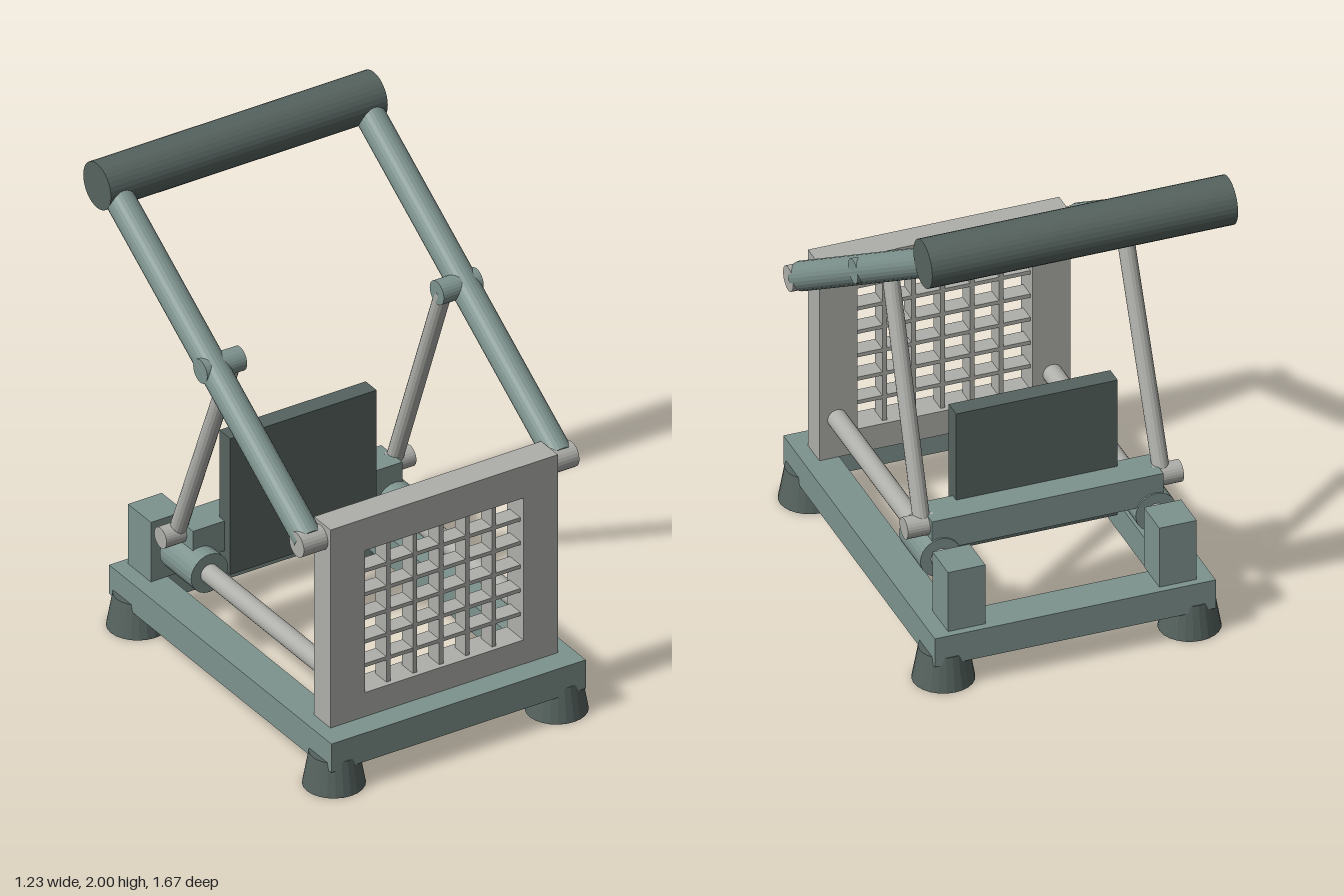
import * as THREE from 'three';

export function createModel() {
  const model = new THREE.Group();
  model.name = 'pressMachine';

  const material = (name, color) => {
    const m = new THREE.MeshStandardMaterial({ color, flatShading: true });
    m.name = name;
    return m;
  };
  const green = material('greyGreen', 0x7e938e);
  const dark = material('darkGreen', 0x56635f);
  const light = material('lightGrey', 0xaeafaa);

  const add = (name, geometry, mat) => {
    const mesh = new THREE.Mesh(geometry, mat);
    mesh.name = name;
    model.add(mesh);
    return mesh;
  };
  // Box given by its lower and upper limits on each axis
  const box = (name, mat, [x0, x1], [y0, y1], [z0, z1]) =>
    add(name, new THREE.BoxGeometry(x1 - x0, y1 - y0, z1 - z0), mat)
      .position.set((x0 + x1) / 2, (y0 + y1) / 2, (z0 + z1) / 2);
  // Round bar between two points
  const rod = (name, mat, a, b, radius, sides = 24) => {
    const from = new THREE.Vector3(...a), to = new THREE.Vector3(...b);
    const dir = to.clone().sub(from);
    const mesh = add(name, new THREE.CylinderGeometry(radius, radius, dir.length(), sides), mat);
    mesh.position.copy(from).add(to).multiplyScalar(0.5);
    mesh.quaternion.setFromUnitVectors(new THREE.Vector3(0, 1, 0), dir.normalize());
  };
  // Extent on one side, mirrored to the other when s = -1
  const side = (s, a, b) => (s > 0 ? [a, b] : [-b, -a]);

  // Base frame: front and back rails
  box('frontRail', green, [-0.565, 0.565], [0.11, 0.235], [0.67, 0.81]);
  box('backRail', green, [-0.565, 0.565], [0.11, 0.235], [-0.73, -0.58]);

  // Front panel with a square window
  const outline = new THREE.Shape([[-0.505, 0.235], [0.505, 0.235], [0.505, 1.1], [-0.505, 1.1]]
    .map(p => new THREE.Vector2(...p)));
  outline.holes.push(new THREE.Path([[-0.352, 0.34], [-0.352, 0.96], [0.352, 0.96], [0.352, 0.34]]
    .map(p => new THREE.Vector2(...p))));
  add('frontPanel', new THREE.ExtrudeGeometry(outline, { depth: 0.115, bevelEnabled: false }), light)
    .position.z = 0.595;

  // Cutting grid in the window
  for (let i = 1; i < 6; i++) {
    const x = -0.352 + i * 0.704 / 6, y = 0.34 + i * 0.62 / 6;
    box('gridUpright', light, [x - 0.009, x + 0.009], [0.34, 0.96], [0.615, 0.69]);
    box('gridCrossbar', light, [-0.352, 0.352], [y - 0.008, y + 0.008], [0.616, 0.689]);
  }

  // Sliding pusher
  box('pusherBeam', green, [-0.465, 0.465], [0.435, 0.565], [-0.45, -0.305]);
  box('pusherPlate', dark, [-0.325, 0.325], [0.35, 0.945], [-0.34, -0.265]);

  // Handle grip
  rod('handleGrip', dark, [-0.615, 1.905, -0.735], [0.615, 1.905, -0.735], 0.096, 32);

  for (const s of [1, -1]) {
    // Base and feet
    box('sideRail', green, side(s, 0.425, 0.565), [0.11, 0.235], [-0.58, 0.67]);
    for (const z of [0.718, -0.64]) {
      add('foot', new THREE.CylinderGeometry(0.095, 0.12, 0.14, 24), dark)
        .position.set(s * 0.495, 0.07, z);
    }
    // Guide rod, its rear post and sliding bearing
    box('rearPost', green, side(s, 0.35, 0.5), [0.235, 0.495], [-0.7, -0.542]);
    rod('guideRod', light, [s * 0.433, 0.405, 0.6], [s * 0.433, 0.405, -0.56], 0.039);
    rod('bearing', green, [s * 0.433, 0.405, -0.24], [s * 0.433, 0.405, -0.457], 0.082);

    // Lever arm with its pivots
    rod('leverPivot', light, [s * 0.49, 1.036, 0.642], [s * 0.612, 1.036, 0.642], 0.051);
    rod('leverArm', green, [s * 0.557, 1.04, 0.635], [s * 0.557, 1.905, -0.735], 0.058);
    rod('strutPivot', green, [s * 0.437, 1.457, -0.022], [s * 0.614, 1.457, -0.022], 0.049);

    // Strut linking lever and pusher
    rod('strut', light, [s * 0.468, 1.455, -0.022], [s * 0.482, 0.525, -0.39], 0.033, 16);
    rod('pusherPivot', light, [s * 0.44, 0.523, -0.39], [s * 0.555, 0.523, -0.39], 0.043);
  }
  return model;
}
